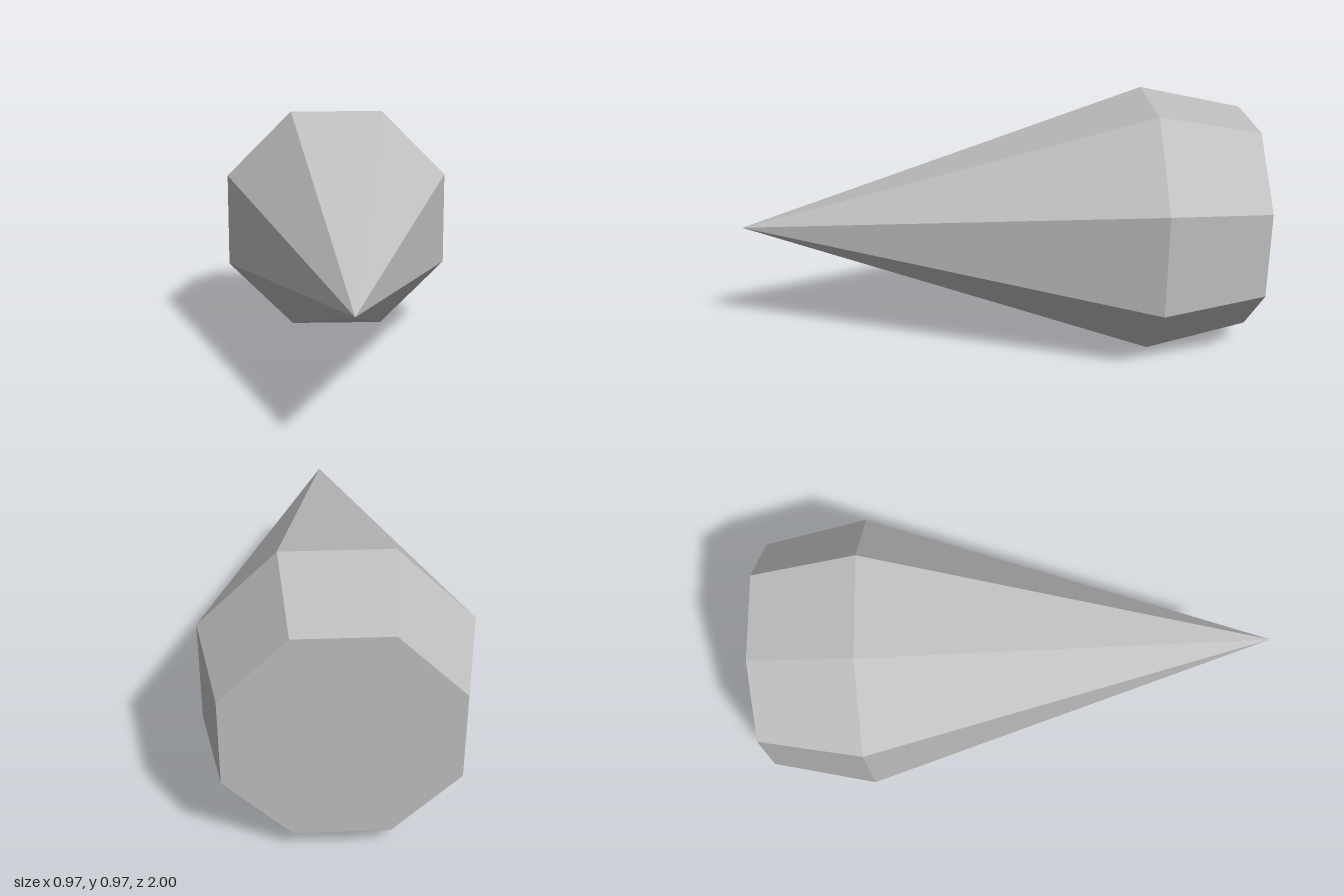
import * as THREE from 'three';

export function createModel() {
  const group = new THREE.Group();
  const grey = new THREE.MeshStandardMaterial({ color: 0xc0c0c0, flatShading: true });
  grey.name = 'light grey';

  // Eight-sided profile: flat back, short flare, long taper to the tip
  const apothem = 0.485;
  const toCorner = 1 / Math.cos(Math.PI / 8);
  const profile = [
    [0, -1],
    [0.405 * toCorner, -1],
    [apothem * toCorner, -0.6],
    [0, 1],
  ].map(([r, y]) => new THREE.Vector2(r, y));

  // Lay the lathe axis along z, tip to the front, resting on a flat side
  const geometry = new THREE.LatheGeometry(profile, 8, Math.PI / 8);
  geometry.rotateX(Math.PI / 2);
  geometry.translate(0, apothem, 0);

  const spike = new THREE.Mesh(geometry, grey);
  spike.name = 'spike';
  group.add(spike);
  return group;
}
